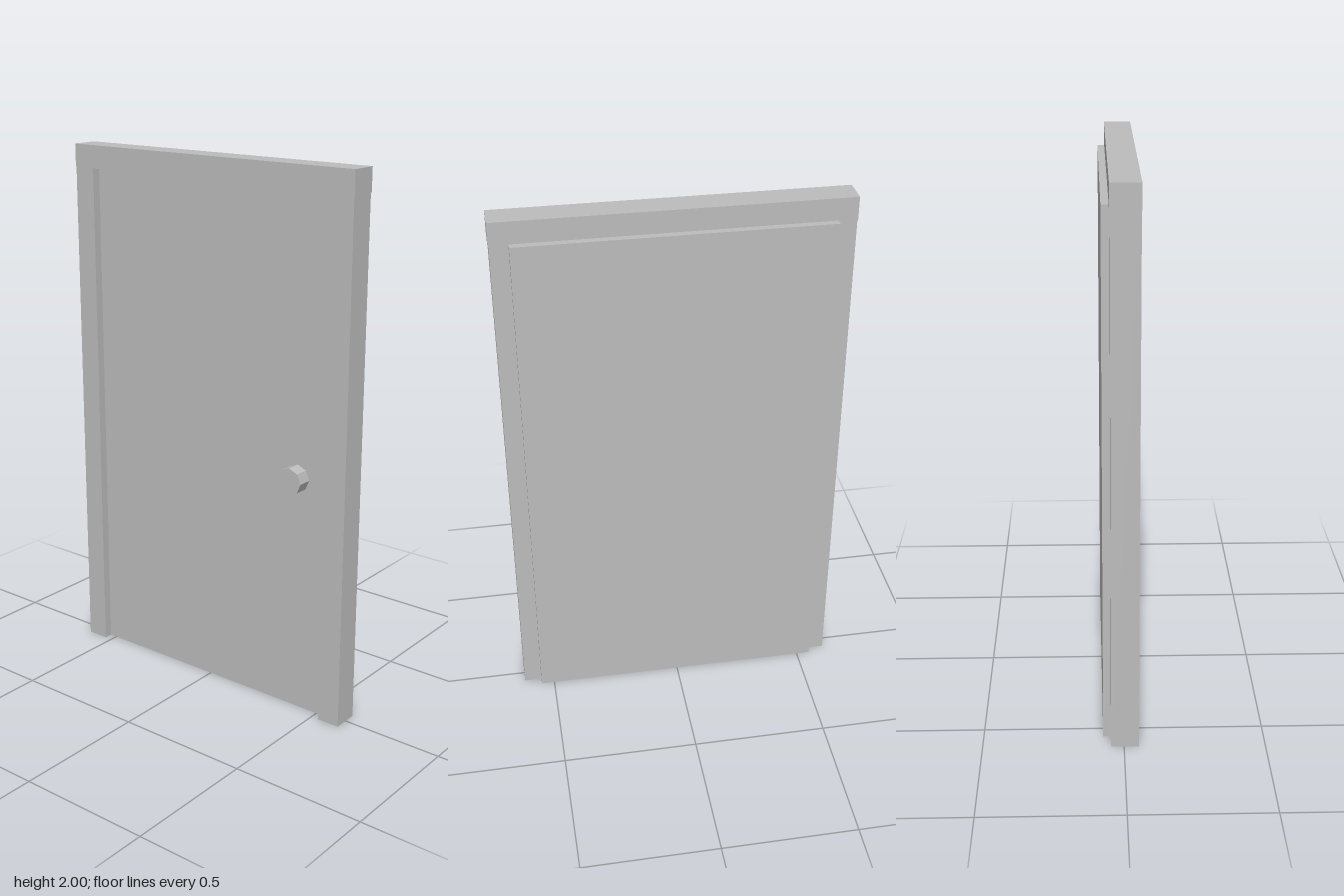
import * as THREE from 'three';

export function createModel() {
  const model = new THREE.Group();
  const grey = new THREE.MeshStandardMaterial({ color: 0xbcbcbc });
  grey.name = 'plain grey';

  // Box given by its lower and upper limits on each axis
  function addBox(name, [x0, x1], [y0, y1], [z0, z1]) {
    const mesh = new THREE.Mesh(new THREE.BoxGeometry(x1 - x0, y1 - y0, z1 - z0), grey);
    mesh.position.set((x0 + x1) / 2, (y0 + y1) / 2, (z0 + z1) / 2);
    mesh.name = name;
    model.add(mesh);
  }

  // Frame: two jambs under a very slightly larger header
  addBox('leftJamb', [0.53, 0.615], [0, 1.915], [-0.046, 0.052]);
  addBox('rightJamb', [-0.615, -0.53], [0, 1.915], [-0.046, 0.052]);
  addBox('header', [-0.617, 0.617], [1.915, 2], [-0.048, 0.053]);

  // Door leaf: recessed at the front, standing proud of the frame at the back
  addBox('doorLeaf', [-0.55, 0.55], [0, 1.92], [-0.0735, 0.02]);

  // Eight-sided knob, let slightly into the leaf
  const knobGeometry = new THREE.CylinderGeometry(0.05, 0.05, 0.0585, 8).toNonIndexed();
  knobGeometry.computeVertexNormals();
  knobGeometry.rotateX(Math.PI / 2);
  const knob = new THREE.Mesh(knobGeometry, grey);
  knob.name = 'knob';
  knob.position.set(0.394, 0.9, 0.0443);
  model.add(knob);

  return model;
}
